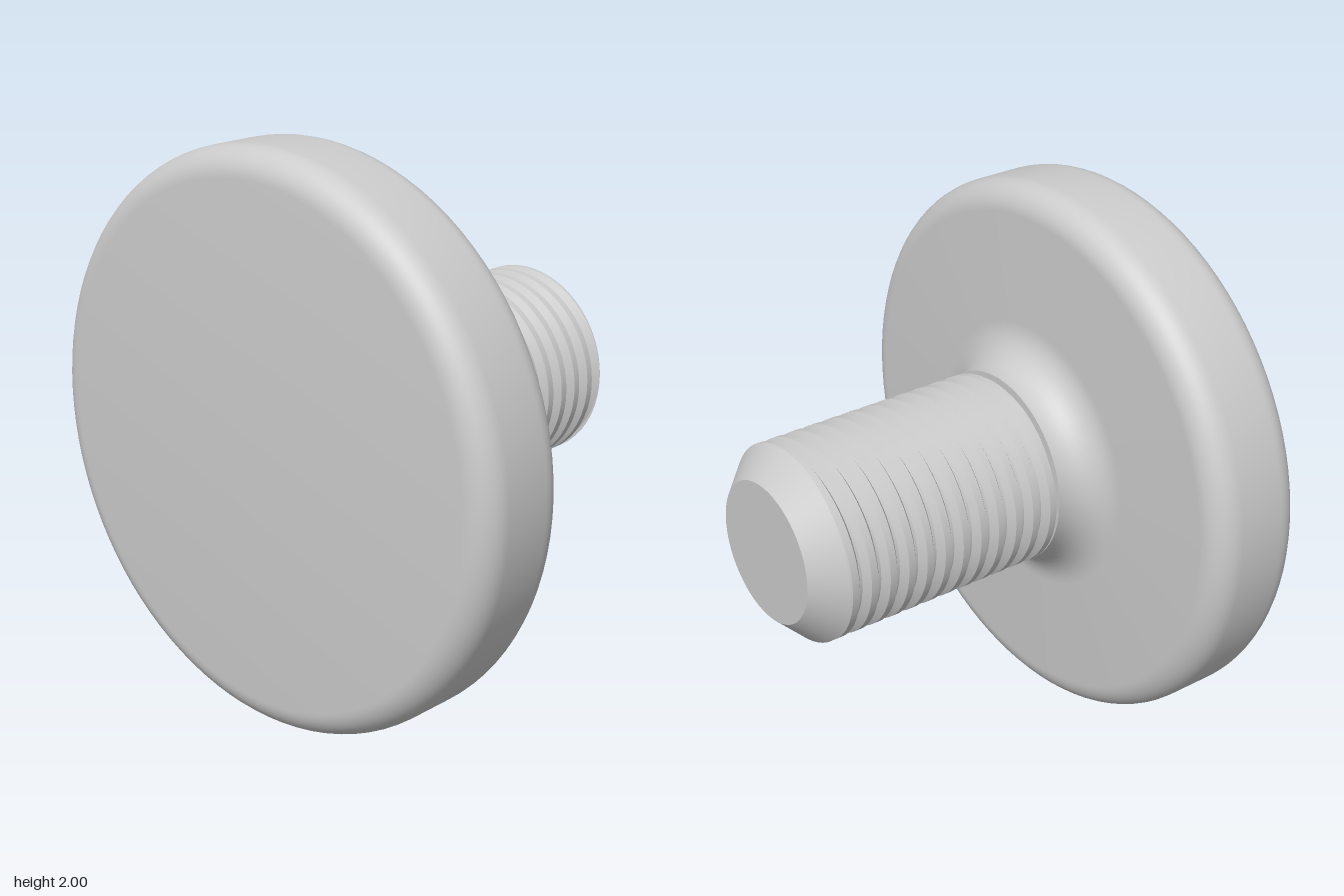
import * as THREE from 'three';
import { toCreasedNormals } from 'three/addons/utils/BufferGeometryUtils.js';

const SEGMENTS = 96;
const SHANK = 0.355, ROOT = 0.327, PITCH = 0.075;
const THREAD_START = -0.65, THREAD_END = 0.225;
const CREST_Z = 0.18 - PITCH / 4; // crest position at angle 0

const material = new THREE.MeshStandardMaterial({ color: 0xcccccc });

// Points along a circular arc of the profile (radius, z)
function arc(cr, cz, radius, from, to, steps = 10) {
  return Array.from({ length: steps + 1 }, (_, i) => {
    const t = from + (to - from) * i / steps;
    return new THREE.Vector2(cr + radius * Math.cos(t), cz + radius * Math.sin(t));
  });
}

function turned(name, points) {
  const geometry = new THREE.LatheGeometry(points, SEGMENTS).rotateX(Math.PI / 2);
  const mesh = new THREE.Mesh(toCreasedNormals(geometry, 0.5), material);
  mesh.name = name;
  return mesh;
}

// Tooth section over one pitch: flat crest, sloped flanks, narrow flat root
const TOOTH = [-0.18, 0.18, 0.43, 0.57];
function toothRadius(f) {
  const d = Math.abs(f - Math.round(f));
  const t = THREE.MathUtils.clamp((d - 0.18) / 0.25, 0, 1);
  return THREE.MathUtils.lerp(SHANK, ROOT, t);
}

// Grid whose rows follow the helix, trimmed flat at both ends
function threadGeometry() {
  const rows = [];
  const first = Math.floor((THREAD_START - CREST_Z) / PITCH) - 2;
  const last = Math.ceil((THREAD_END - CREST_Z) / PITCH) + 1;
  for (let k = first; k <= last; k++) for (const f of TOOTH) rows.push(k + f);

  const positions = [], index = [];
  const stride = SEGMENTS + 1;
  rows.forEach((row, j) => {
    for (let i = 0; i <= SEGMENTS; i++) {
      const turn = i / SEGMENTS, a = turn * Math.PI * 2;
      const z = THREE.MathUtils.clamp(CREST_Z + PITCH * (row + turn), THREAD_START, THREAD_END);
      const r = toothRadius((z - CREST_Z) / PITCH - turn);
      positions.push(r * Math.cos(a), r * Math.sin(a), z);
      if (i < SEGMENTS && j < rows.length - 1) {
        const p = j * stride + i, q = p + stride;
        index.push(p, p + 1, q, p + 1, q + 1, q);
      }
    }
  });
  const geometry = new THREE.BufferGeometry();
  geometry.setAttribute('position', new THREE.Float32BufferAttribute(positions, 3));
  geometry.setIndex(index);
  return toCreasedNormals(geometry, 0.5);
}

export function createModel() {
  const model = new THREE.Group();
  model.name = 'thumbScrew';
  const v = (r, z) => new THREE.Vector2(r, z);
  const core = ROOT - 0.01;

  // Round head with softened rims and a fillet running into the shank
  model.add(turned('head', [
    v(core, THREAD_END),
    v(SHANK, THREAD_END),
    ...arc(SHANK + 0.145, 0.23, 0.145, Math.PI, Math.PI / 2),
    ...arc(0.9, 0.475, 0.1, -Math.PI / 2, 0),
    ...arc(0.9, 0.65, 0.1, 0, Math.PI / 2),
    v(0, 0.75),
  ]));

  // Chamfered end of the shank
  model.add(turned('tip', [
    v(0, -0.75),
    v(0.255, -0.75),
    v(SHANK, THREAD_START),
    v(core, THREAD_START),
  ]));

  // Helical thread
  const thread = new THREE.Mesh(threadGeometry(), material);
  thread.name = 'thread';
  model.add(thread);

  model.position.y = 1;
  const root = new THREE.Group();
  root.name = 'model';
  root.add(model);
  return root;
}
